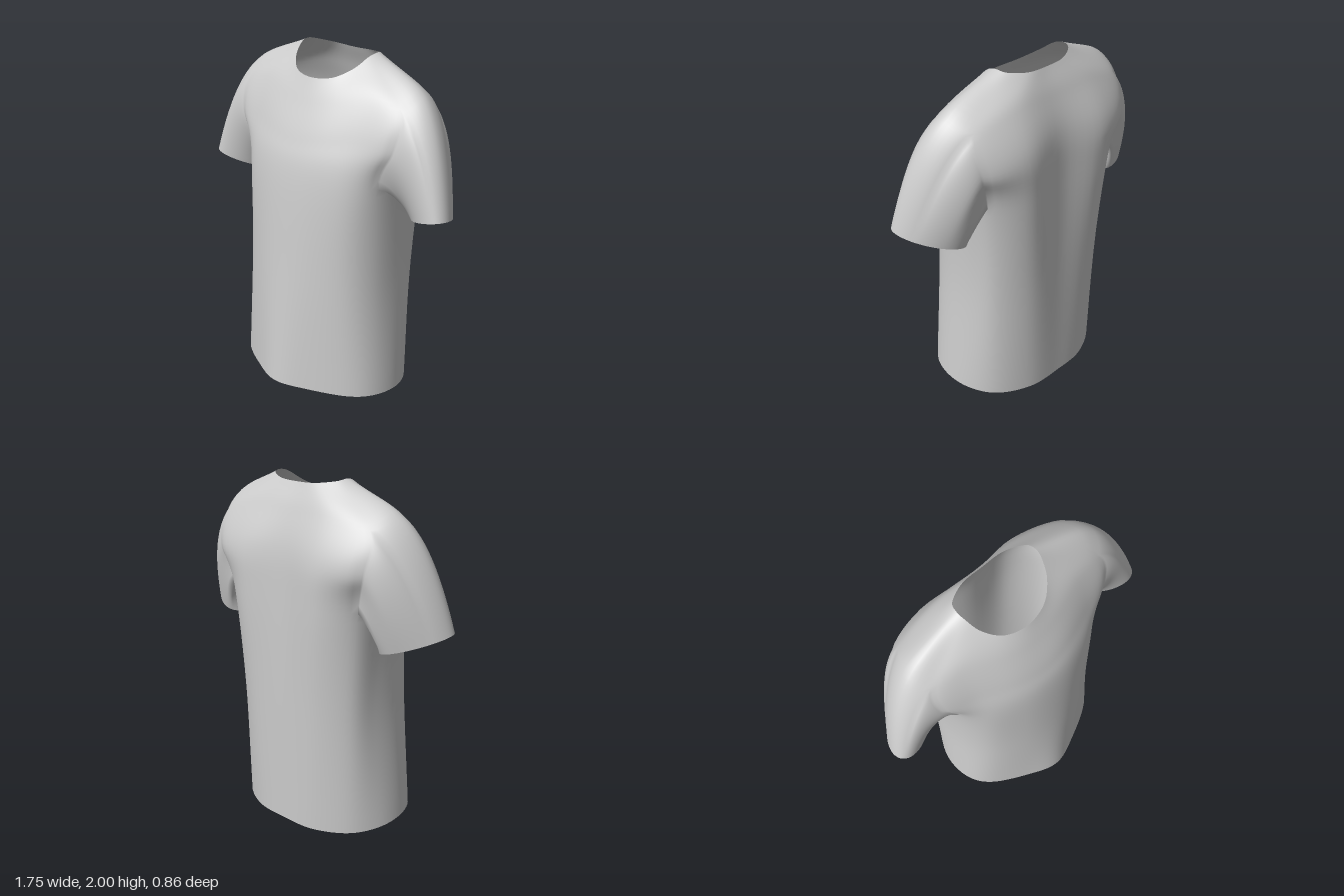
import * as THREE from 'three';

// Half cross-sections of the torso, front centre -> left side -> back centre
const hem = [[0, .078, .43], [.205, .072, .36], [.42, .06, .235], [.512, .047, .09], [.515, .028, -.1], [.42, .012, -.27], [.22, .004, -.375], [0, .004, -.39]];
const waist = [[0, .75, .365], [.19, .75, .33], [.375, .75, .23], [.462, .75, .08], [.472, .75, -.12], [.43, .75, -.285], [.25, .75, -.395], [0, .75, -.395]];
const chest = [[0, 1.33, .31], [.18, 1.33, .29], [.365, 1.33, .22], [.475, 1.34, .1], [.51, 1.36, -.08], [.485, 1.34, -.295], [.29, 1.33, -.42], [0, 1.33, -.39]];
const armholeMid = [[0, 1.55, .25], [.18, 1.57, .225], [.38, 1.59, .155], [.57, 1.58, .085], [.62, 1.65, -.1], [.555, 1.57, -.335], [.31, 1.6, -.415], [0, 1.62, -.375]];
const shoulder = [[0, 1.74, .165], [.17, 1.76, .14], [.37, 1.8, .065], [.55, 1.78, .015], [.6, 1.845, -.11], [.54, 1.78, -.265], [.28, 1.83, -.32], [0, 1.83, -.315]];
const neck = [[0, 1.865, .105], [.13, 1.88, .075], [.215, 1.93, 0], [.25, 1.985, -.08], [.258, 2, -.14], [.235, 1.99, -.195], [.13, 1.975, -.245], [0, 1.97, -.25]];

const N = 6, M = 8;             // subdivisions per station and per level
const U = 14 * N, V = 5 * M;    // torso grid size
const SLEEVE_ROWS = 16;

// Closed smooth ring from a half cross-section
function ringCurve(half) {
  const left = half.map(p => new THREE.Vector3(...p));
  const right = left.slice(1, -1).reverse().map(p => new THREE.Vector3(-p.x, p.y, p.z));
  return new THREE.CatmullRomCurve3([...left, ...right], true, 'catmullrom', 0.5);
}

export function createModel() {
  const points = [];
  const torso = [], leftSleeve = [], rightSleeve = [];
  const quad = (list, a, b, c, d) => list.push(a, b, c, a, c, d);

  // Torso grid: columns run from hem to neckline
  const rings = [hem, waist, chest, armholeMid, shoulder, neck].map(ringCurve);
  for (let u = 0; u < U; u++) {
    const column = new THREE.CatmullRomCurve3(rings.map(r => r.getPoint(u / U)), false, 'catmullrom', 0.5);
    for (let v = 0; v <= V; v++) points.push(column.getPoint(v / V));
  }
  const id = (u, v) => ((u + U) % U) * (V + 1) + v;

  // Torso faces, leaving both armholes open
  const inArmhole = (u, v) => v >= 2 * M && v < 4 * M &&
    ((u >= 3 * N && u < 5 * N) || (u >= 9 * N && u < 11 * N));
  for (let u = 0; u < U; u++) for (let v = 0; v < V; v++) {
    if (!inArmhole(u, v)) quad(torso, id(u, v), id(u + 1, v), id(u + 1, v + 1), id(u, v + 1));
  }

  // Armhole edge: shoulder point -> front -> armpit -> back
  const edge = [];
  for (let u = 4 * N; u > 3 * N; u--) edge.push([u, 4 * M]);
  for (let v = 4 * M; v > 2 * M; v--) edge.push([3 * N, v]);
  for (let u = 3 * N; u < 5 * N; u++) edge.push([u, 2 * M]);
  for (let v = 2 * M; v < 4 * M; v++) edge.push([5 * N, v]);
  for (let u = 5 * N; u > 4 * N; u--) edge.push([u, 4 * M]);
  const count = edge.length, half = count / 2;
  const rim = edge.map(([u, v]) => points[id(u, v)].clone());

  // Angles around the cuff follow arc length, with the armpit at half a turn
  const run = [0];
  for (let i = 0; i < count; i++) run.push(run[i] + rim[i].distanceTo(rim[(i + 1) % count]));
  const angle = i => i <= half
    ? Math.PI * run[i] / run[half]
    : Math.PI * (1 + (run[i] - run[half]) / (run[count] - run[half]));

  // Sleeves: each strand bends from the armhole edge to the tilted cuff,
  // whose outer side is swung towards the front
  for (const side of [1, -1]) {
    const faces = side > 0 ? leftSleeve : rightSleeve;
    let previous = edge.map(([u, v]) => id(side > 0 ? u : U - u, v));
    const strands = rim.map((start, i) => {
      const c = Math.cos(angle(i)), s = Math.sin(angle(i));
      const cuff = new THREE.Vector3(.715 + .16 * c, 1.18 + .053 * c + .02 * s, -.083 + .16 * Math.sin(angle(i) + .55));
      const bend = start.clone().lerp(cuff, .5);
      const top = (1 + c) / 2;
      bend.x += .015 + .005 * top;
      bend.y += .05 + .14 * top;
      bend.z += .025 * s - .02;
      return new THREE.QuadraticBezierCurve3(start, bend, cuff);
    });
    for (let r = 1; r <= SLEEVE_ROWS; r++) {
      const row = strands.map(strand => {
        const p = strand.getPoint(r / SLEEVE_ROWS);
        p.x *= side;
        return points.push(p) - 1;
      });
      for (let i = 0; i < count; i++) {
        const j = (i + 1) % count;
        if (side > 0) quad(faces, previous[i], previous[j], row[j], row[i]);
        else quad(faces, previous[j], previous[i], row[i], row[j]);
      }
      previous = row;
    }
  }

  // Normals are shared across the armhole seams so the cloth stays smooth
  const cloth = new THREE.BufferGeometry().setFromPoints(points);
  cloth.setIndex([...torso, ...leftSleeve, ...rightSleeve]);
  cloth.computeVertexNormals();

  const material = new THREE.MeshStandardMaterial({ color: 0xcccccc, side: THREE.DoubleSide });
  const group = new THREE.Group();
  group.name = 'shirt';
  for (const [name, faces] of Object.entries({ torso, leftSleeve, rightSleeve })) {
    const geometry = cloth.clone();
    geometry.setIndex(faces);
    const mesh = new THREE.Mesh(geometry, material);
    mesh.name = name;
    group.add(mesh);
  }
  return group;
}
